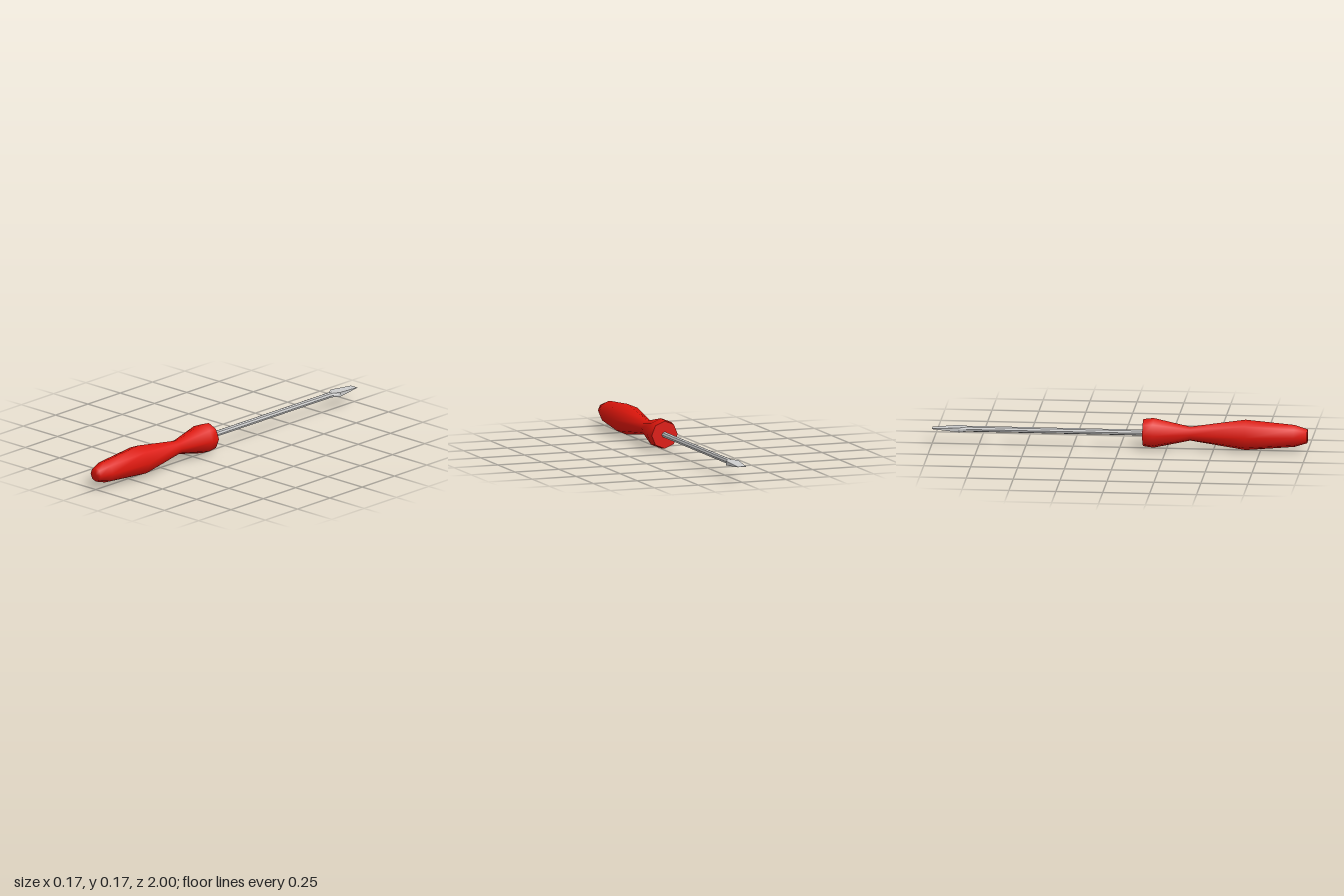
import * as THREE from 'three';

const AXIS_Y = 0.083;
const SIDES = 8;

// Closed-ended skin over a list of cross-sections running towards -z
function loft(sections) {
  const positions = [], index = [];
  for (const ring of sections) positions.push(...ring.flat());
  const last = (sections.length - 1) * SIDES;
  for (let i = 0; i < sections.length - 1; i++) {
    for (let j = 0; j < SIDES; j++) {
      const a = i * SIDES + j, b = i * SIDES + (j + 1) % SIDES;
      index.push(a, a + SIDES, b, b, a + SIDES, b + SIDES);
    }
  }
  for (let j = 1; j < SIDES - 1; j++) index.push(last, last + j + 1, last + j);
  const geometry = new THREE.BufferGeometry();
  geometry.setAttribute('position', new THREE.Float32BufferAttribute(positions, 3));
  geometry.setIndex(index);
  geometry.computeVertexNormals();
  return geometry;
}

// Eight-point section: round (square = false) or rectangular
function section(z, w, h, square) {
  return Array.from({ length: SIDES }, (_, j) => {
    const a = j * Math.PI * 2 / SIDES;
    let x = Math.cos(a), y = Math.sin(a);
    if (square) {
      x = Math.abs(x) < 1e-6 ? 0 : Math.sign(x);
      y = Math.abs(y) < 1e-6 ? 0 : Math.sign(y);
    }
    return [x * w, y * h, z];
  });
}

export function createModel() {
  const model = new THREE.Group();
  model.name = 'screwdriver';
  const red = new THREE.MeshStandardMaterial({ color: 0xdd160c });
  const metal = new THREE.MeshStandardMaterial({ color: 0xcccccc, flatShading: true });

  const add = (name, geometry, material) => {
    const mesh = new THREE.Mesh(geometry, material);
    mesh.name = name;
    mesh.position.y = AXIS_Y;
    model.add(mesh);
    return mesh;
  };

  // Octagonal grip with a narrow waist, as radius and z
  const profile = [
    [0.074, 0.125], [0.081, 0.18], [0.038, 0.375], [0.083, 0.67],
    [0.06, 0.93], [0.038, 1], [0, 1],
  ].map(([r, z]) => new THREE.Vector2(r, z));
  add('handle', new THREE.LatheGeometry(profile, SIDES).rotateX(Math.PI / 2), red);

  // Flat face where the shaft enters the grip
  const cap = add('handleCollar', new THREE.CircleGeometry(0.074, SIDES).rotateY(Math.PI), red);
  cap.position.z = 0.125;

  // Shaft
  add('shaft', loft([section(0.14, 0.016, 0.016), section(-0.82, 0.016, 0.016)]), metal);

  // Flared blade, thinning to a straight edge
  add('blade', loft([
    section(-0.815, 0.016, 0.016),
    section(-0.855, 0.035, 0.012, true),
    section(-1, 0.023, 0.001, true),
  ]), metal);

  return model;
}
